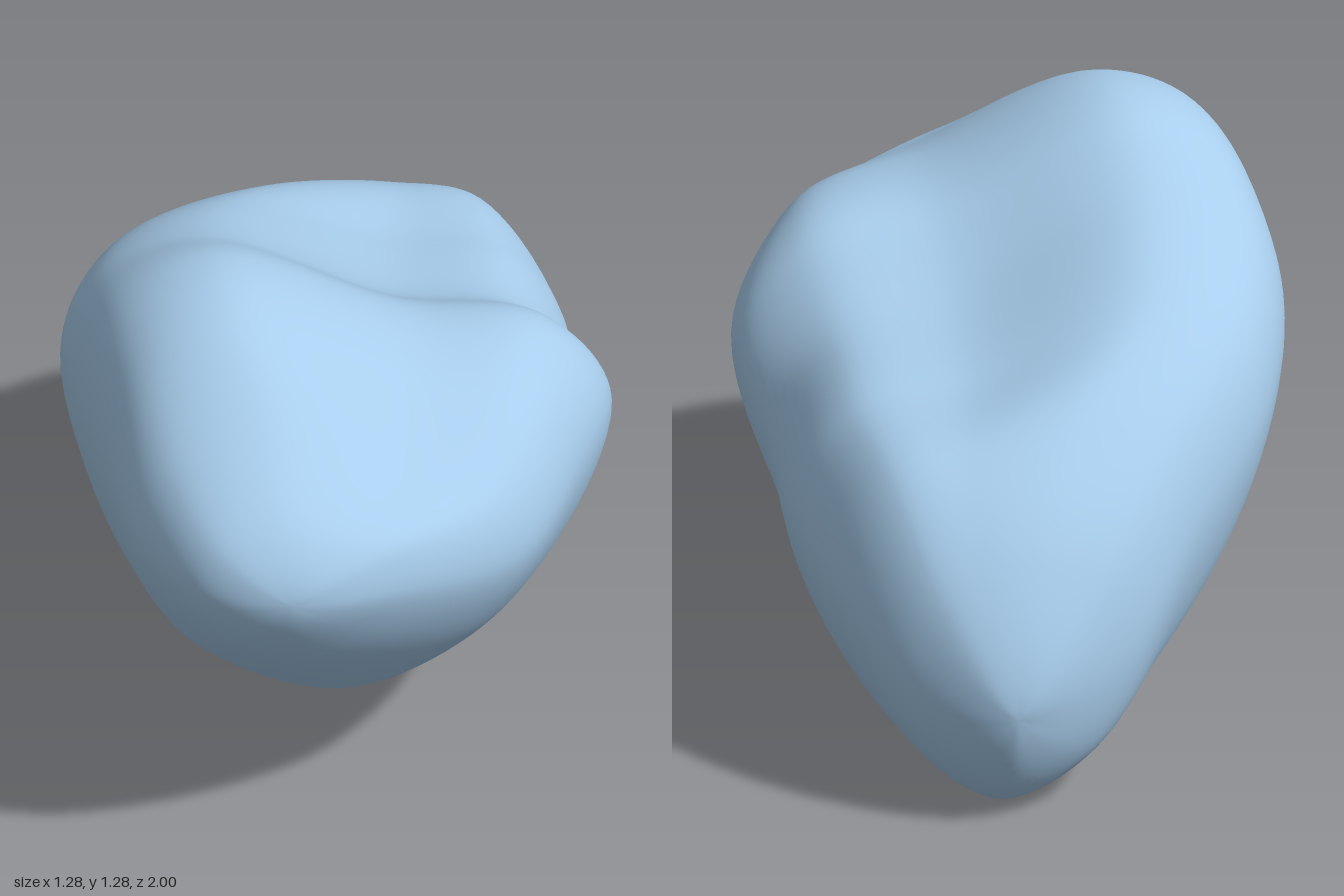
import * as THREE from 'three';
import { mergeVertices } from 'three/addons/utils/BufferGeometryUtils.js';

// Cross-sections from front to back: lowest point, right side, right shoulder,
// ridge top and left side as [x, y], and how far the valley sags below shoulder and ridge.
const sections = [
  { z: 0.93, low: [-0.19, 0.64], right: [0.05, 0.78], shoulder: [0.01, 0.88], ridge: [-0.25, 0.96], left: [-0.42, 0.82], sag: -0.02 },
  { z: 0.72, low: [-0.08, 0.4], right: [0.36, 0.71], shoulder: [0.3, 0.89], ridge: [-0.24, 1.11], left: [-0.55, 0.84], sag: -0.01 },
  { z: 0.44, low: [-0.02, 0.18], right: [0.54, 0.77], shoulder: [0.43, 1.0], ridge: [-0.29, 1.26], left: [-0.6, 0.87], sag: 0.02 },
  { z: 0.2, low: [0.03, 0.09], right: [0.635, 0.78], shoulder: [0.47, 1.02], ridge: [-0.3, 1.27], left: [-0.63, 0.85], sag: 0.04 },
  { z: -0.05, low: [0.13, 0.05], right: [0.595, 0.6], shoulder: [0.45, 0.88], ridge: [-0.29, 1.15], left: [-0.63, 0.83], sag: 0.04 },
  { z: -0.35, low: [0.18, 0.01], right: [0.605, 0.55], shoulder: [0.46, 0.83], ridge: [-0.23, 1.02], left: [-0.53, 0.72], sag: 0.03 },
  { z: -0.65, low: [0.2, 0.005], right: [0.55, 0.48], shoulder: [0.43, 0.77], ridge: [-0.03, 0.85], left: [-0.3, 0.57], sag: -0.02 },
  { z: -0.87, low: [0.2, 0.04], right: [0.42, 0.34], shoulder: [0.36, 0.56], ridge: [0.1, 0.63], left: [-0.08, 0.37], sag: -0.03 },
];
const frontTip = new THREE.Vector3(-0.22, 0.82, 1);
const backTip = new THREE.Vector3(0.2, 0.3, -1);
const AROUND = 96;
const ALONG = 100;

// Point between a side and a top or bottom point, pushed out towards their shared corner
function bulge(side, end, amount) {
  const mid = side.clone().lerp(end, 0.5);
  return mid.lerp(new THREE.Vector3(side.x, end.y, side.z), amount);
}

// Smooth closed ring through one section
function makeRing({ z, sag, ...points }) {
  const at = (name) => new THREE.Vector3(...points[name], z);
  const [low, right, shoulder, ridge, left] = ['low', 'right', 'shoulder', 'ridge', 'left'].map(at);
  const valley = shoulder.clone().lerp(ridge, 0.42);
  valley.y -= sag;
  const curve = new THREE.CatmullRomCurve3([
    low, bulge(right, low, 0.33), right, shoulder, valley,
    ridge, bulge(left, ridge, 0.48), left, bulge(left, low, 0.38),
  ], true, 'centripetal');
  return Array.from({ length: AROUND }, (_, k) => curve.getPoint(k / AROUND));
}

function makeRockGeometry() {
  const rings = sections.map(makeRing);
  const last = rings.length - 1;
  const spans = rings.length + 3;
  const positions = new Float32Array((ALONG + 1) * AROUND * 3);
  const index = [];

  for (let k = 0; k < AROUND; k++) {
    // Each rail continues past both tips onto the opposite side, so the ends stay round
    const opposite = (k + AROUND / 2) % AROUND;
    const rail = new THREE.CatmullRomCurve3([
      rings[0][opposite], frontTip, ...rings.map((ring) => ring[k]), backTip, rings[last][opposite],
    ], false, 'centripetal');
    for (let i = 0; i <= ALONG; i++) {
      const t = (1 + (i / ALONG) * (spans - 2)) / spans;
      rail.getPoint(t).toArray(positions, (i * AROUND + k) * 3);
    }
  }

  // Skin between neighbouring rails, closing to a fan at each tip
  for (let i = 0; i < ALONG; i++) {
    for (let k = 0; k < AROUND; k++) {
      const a = i * AROUND + k;
      const c = i * AROUND + ((k + 1) % AROUND);
      const b = a + AROUND;
      const d = c + AROUND;
      if (i > 0) index.push(a, b, c);
      if (i < ALONG - 1) index.push(c, b, d);
    }
  }

  const geometry = new THREE.BufferGeometry();
  geometry.setAttribute('position', new THREE.BufferAttribute(positions, 3));
  geometry.setIndex(index);
  const welded = mergeVertices(geometry, 1e-5);
  welded.computeVertexNormals();
  return welded;
}

export function createModel() {
  const group = new THREE.Group();
  group.name = 'boulder';
  const material = new THREE.MeshStandardMaterial({ color: 0xa8cdec });
  const rock = new THREE.Mesh(makeRockGeometry(), material);
  rock.name = 'rock';
  group.add(rock);
  return group;
}
